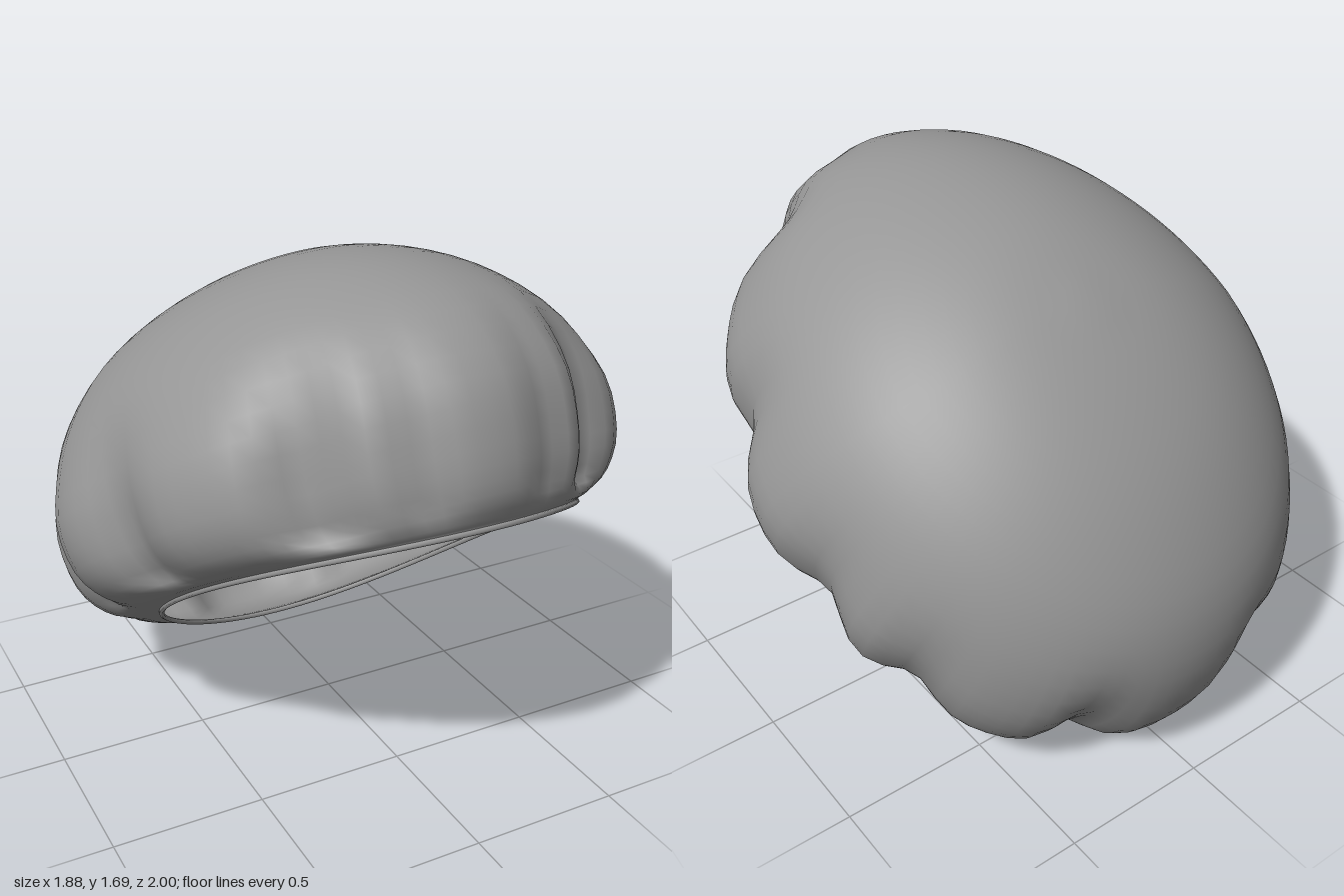
import * as THREE from 'three';

// Puffy cap: rows from rim to crown [height, front reach, back reach, half width]
const ROWS = [
  [0, 0.86, -0.86, 0.665], [0.01, 0.865, -0.9, 0.68], [0.025, 0.89, -1.01, 0.74],
  [0.08, 0.95, -1.135, 0.84], [0.2, 1.005, -1.185, 0.92], [0.39, 1.04, -1.185, 0.942],
  [0.6, 0.975, -1.115, 0.88], [0.78, 0.81, -0.98, 0.765], [0.915, 0.62, -0.79, 0.62],
  [1.015, 0.41, -0.57, 0.44], [1.075, 0.2, -0.32, 0.24], [1.1, -0.05, -0.05, 0],
];
// Gathered folds, mirrored left and right: [angle from front, depth, width] in degrees
const FOLDS = [
  [14, 0.035, 5], [33, 0.1, 7.5], [72, 0.09, 7],
  [104, 0.09, 7], [126, 0.075, 6.5], [160, 0.08, 7],
];
const AROUND = 96, UP = 33;

const reach = new THREE.CatmullRomCurve3(ROWS.map(r => new THREE.Vector3(r[1], r[2], r[3])), false, 'catmullrom', 0.5);
const height = new THREE.CatmullRomCurve3(ROWS.map(r => new THREE.Vector3(0, r[0], 0)), false, 'catmullrom', 0.5);

function foldDepth(t) {
  const deg = Math.abs(THREE.MathUtils.radToDeg(Math.atan2(Math.sin(t), Math.cos(t))));
  return FOLDS.reduce((s, [a, d, w]) => s + d * Math.exp(-(((deg - a) / w) ** 2)), 0);
}

// Surface point: t runs round the cap, v from rim to crown
function capPoint(t, v) {
  const r = reach.getPoint(v), w = height.getPoint(v).y;
  const mask = THREE.MathUtils.smoothstep(w, 0.01, 0.09) * (1 - THREE.MathUtils.smoothstep(w, 0.2, 0.75));
  const k = 1 - foldDepth(t) * mask;
  // plan narrows a little toward the front, and the rim arches upward at the sides
  const egg = 1 - 0.1 * Math.max(Math.cos(t), 0.15 * Math.cos(t)) * THREE.MathUtils.smoothstep(w, 0, 0.6);
  const arch = 0.07 * Math.sin(t) ** 2 * Math.max(0, 1 - w / 0.5);
  return new THREE.Vector3(
    r.z * Math.sin(t) * k * egg,
    w + arch,
    (r.x + r.y) / 2 + (r.x - r.y) / 2 * Math.cos(t) * k
  );
}

function capGeometry() {
  const pos = [], index = [];
  for (let i = 0; i < UP; i++) {
    for (let j = 0; j < AROUND; j++) {
      pos.push(...capPoint(j / AROUND * Math.PI * 2, i / UP).toArray());
    }
  }
  const crown = pos.length / 3;
  pos.push(...capPoint(0, 1).toArray());
  for (let i = 0; i < UP; i++) {
    for (let j = 0; j < AROUND; j++) {
      const a = i * AROUND + j, b = i * AROUND + (j + 1) % AROUND;
      if (i === UP - 1) index.push(a, b, crown);
      else index.push(a, b, a + AROUND, b, b + AROUND, a + AROUND);
    }
  }
  const g = new THREE.BufferGeometry();
  g.setAttribute('position', new THREE.Float32BufferAttribute(pos, 3));
  g.setIndex(index);
  g.computeVertexNormals();
  return g;
}

export function createModel() {
  const group = new THREE.Group();
  group.name = 'puffyCap';
  const tilted = new THREE.Group();
  tilted.name = 'tiltedCap';
  tilted.rotation.x = -0.604;
  tilted.position.set(0, 0.58, 0.27);
  group.add(tilted);

  // Gathered shell, open underneath
  const cloth = new THREE.MeshStandardMaterial({ color: 0x969696, side: THREE.DoubleSide });
  const shell = new THREE.Mesh(capGeometry(), cloth);
  shell.name = 'gatheredShell';
  tilted.add(shell);

  // Thin hem round the opening
  const rim = Array.from({ length: 48 }, (_, j) => capPoint(j / 48 * Math.PI * 2, 0));
  const hem = new THREE.Mesh(
    new THREE.TubeGeometry(new THREE.CatmullRomCurve3(rim, true), 96, 0.009, 6, true),
    cloth
  );
  hem.name = 'hem';
  tilted.add(hem);
  return group;
}
